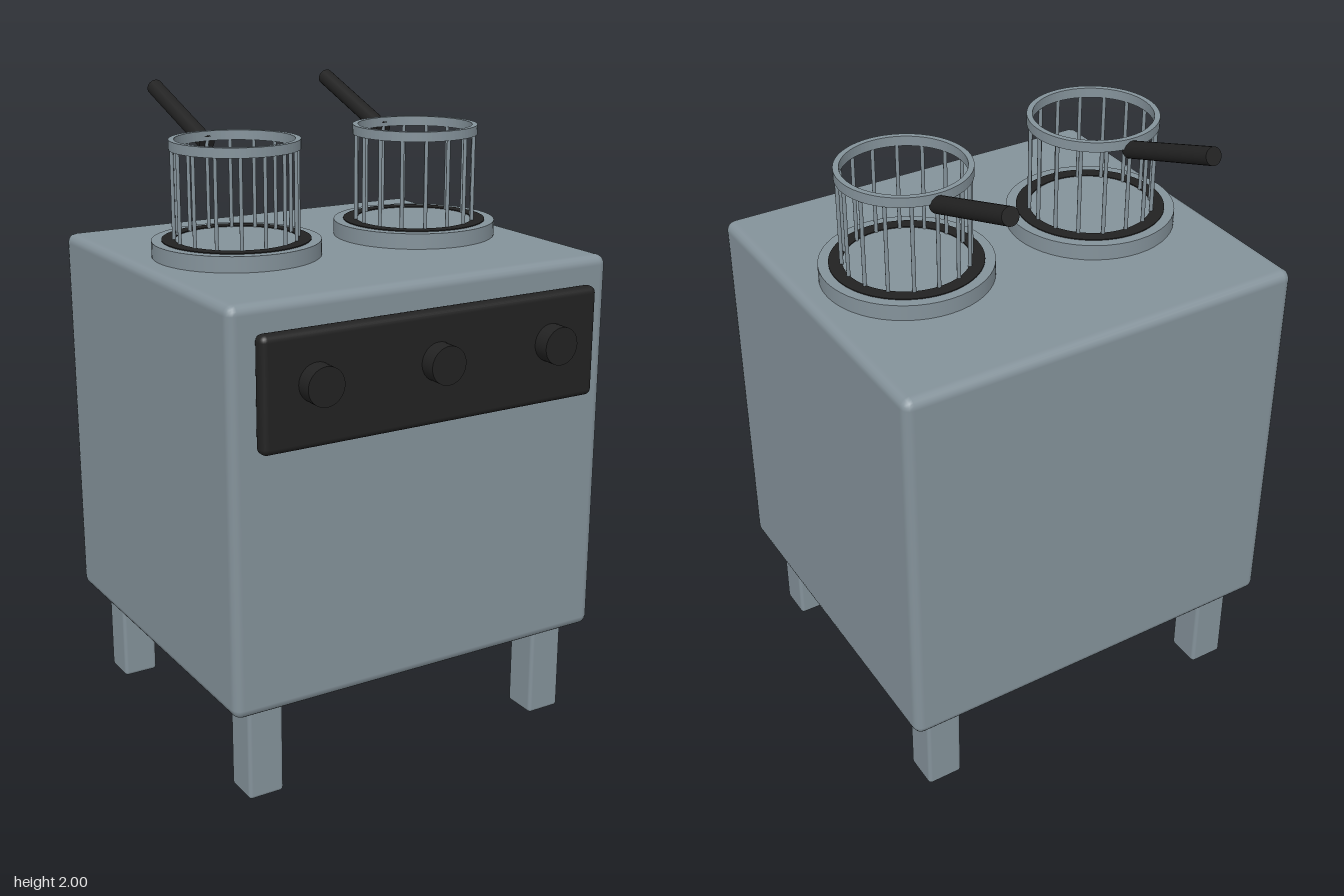
import * as THREE from 'three';
import { RoundedBoxGeometry } from 'three/addons/geometries/RoundedBoxGeometry.js';

export function createModel() {
  const model = new THREE.Group();
  model.name = 'fryer';
  const steel = new THREE.MeshStandardMaterial({ name: 'grey steel', color: 0x84929a });
  const black = new THREE.MeshStandardMaterial({ name: 'black plastic', color: 0x222222 });

  const add = (parent, name, geometry, material, x = 0, y = 0, z = 0) => {
    const mesh = new THREE.Mesh(geometry, material);
    mesh.name = name;
    mesh.position.set(x, y, z);
    parent.add(mesh);
    return mesh;
  };
  // Closed ring with a rectangular section, y from 0 to h
  const ring = (inner, outer, h) => {
    const shape = new THREE.Shape().absarc(0, 0, outer, 0, Math.PI * 2);
    shape.holes.push(new THREE.Path().absarc(0, 0, inner, 0, Math.PI * 2, true));
    return new THREE.ExtrudeGeometry(shape, { depth: h, bevelEnabled: false, curveSegments: 40 })
      .rotateX(-Math.PI / 2);
  };

  const midZ = -0.048;

  // Cabinet and legs
  add(model, 'cabinet', new RoundedBoxGeometry(1.29, 1.225, 1.15, 2, 0.03), steel, 0, 0.9175, midZ);
  const legGeo = new RoundedBoxGeometry(0.116, 0.33, 0.116, 2, 0.012);
  for (const x of [-0.518, 0.518])
    for (const z of [0.413, -0.505]) add(model, 'leg', legGeo, steel, x, 0.165, z);

  // Control panel with three knobs
  add(model, 'controlPanel', new RoundedBoxGeometry(1.14, 0.34, 0.05, 3, 0.02), black, 0, 1.28, 0.55);
  const knobGeo = new THREE.CylinderGeometry(0.058, 0.058, 0.055, 32).rotateX(Math.PI / 2);
  for (const x of [-0.4, 0, 0.4]) add(model, 'knob', knobGeo, black, x, 1.3, 0.6);

  // Two wire baskets, each standing on a round collar
  const collarGeo = new THREE.CylinderGeometry(0.257, 0.257, 0.05, 48);
  const sealGeo = ring(0.186, 0.226, 0.004);
  const rimGeo = ring(0.18, 0.197, 0.03);
  const wireGeo = new THREE.CylinderGeometry(0.006, 0.006, 0.29, 8);
  const handleGeo = new THREE.CylinderGeometry(0.026, 0.026, 0.395, 20);
  for (const x of [-0.319, 0.319]) {
    const basket = new THREE.Group();
    basket.name = 'basket';
    basket.position.set(x, 0, midZ);
    model.add(basket);
    add(basket, 'collar', collarGeo, steel, 0, 1.553, 0);
    add(basket, 'seal', sealGeo, black, 0, 1.577, 0);
    add(basket, 'rim', rimGeo, steel, 0, 1.849, 0);
    for (let i = 0; i < 16; i++) {
      const a = (i / 16) * Math.PI * 2;
      add(basket, 'wire', wireGeo, steel, 0.188 * Math.sin(a), 1.715, 0.188 * Math.cos(a));
    }
    // Handle rising backwards from the rim
    const handle = add(basket, 'handle', handleGeo, black, 0, 1.908, -0.373);
    handle.rotation.x = -THREE.MathUtils.degToRad(70);
  }
  return model;
}
